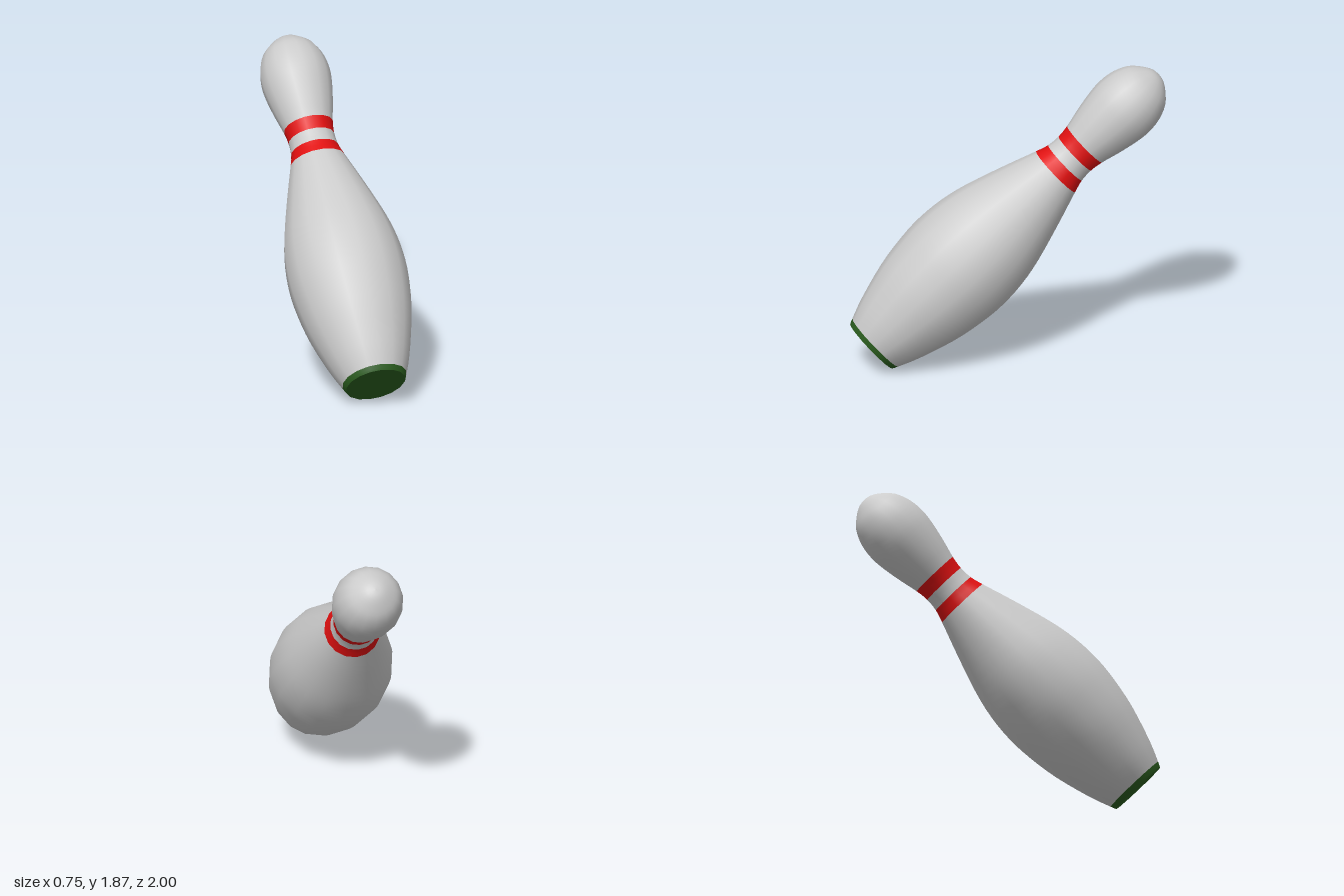
import * as THREE from 'three';

const SIDES = 16;

// Outline from the base to the tip: [radius, distance along the axis]
const outline = [
  [0.19, 0], [0.206, 0.034],
  [0.26, 0.17], [0.328, 0.4], [0.363, 0.6], [0.375, 0.77], [0.362, 0.95], [0.324, 1.13], [0.246, 1.38], [0.176, 1.586],
  [0.152, 1.668],
  [0.146, 1.752],
  [0.157, 1.836],
  [0.185, 1.95], [0.211, 2.08], [0.22, 2.18], [0.207, 2.28], [0.168, 2.37], [0.107, 2.43], [0.05, 2.465], [0, 2.474],
];
const curve = new THREE.SplineCurve(outline.map(([r, h]) => new THREE.Vector2(r, h)));

// Turned slice of the outline between two of its points
function slice(name, from, to, material) {
  const steps = (to - from) * 3;
  const points = [];
  for (let i = 0; i <= steps; i++) {
    const p = curve.getPoint((from + (to - from) * i / steps) / (outline.length - 1));
    p.x = Math.max(p.x, 0);
    points.push(p);
  }
  const mesh = new THREE.Mesh(new THREE.LatheGeometry(points, SIDES), material);
  mesh.name = name;
  return mesh;
}

export function createModel() {
  const grey = new THREE.MeshStandardMaterial({ color: 0xcccccc });
  const red = new THREE.MeshStandardMaterial({ color: 0xe01010 });
  const green = new THREE.MeshStandardMaterial({ color: 0x2a5c1e });

  const pin = new THREE.Group();
  pin.name = 'bowlingPin';
  pin.add(
    slice('baseRim', 0, 1, green),
    slice('body', 1, 9, grey),
    slice('lowerBand', 9, 10, red),
    slice('neck', 10, 11, grey),
    slice('upperBand', 11, 12, red),
    slice('head', 12, 20, grey),
  );

  // Flat underside
  const base = new THREE.Mesh(new THREE.CircleGeometry(outline[0][0], SIDES), green);
  base.name = 'baseCap';
  base.rotation.x = Math.PI / 2;
  pin.add(base);

  // The pin leans backwards
  pin.rotation.x = -0.83;
  pin.position.set(0, 0.14, 0.87);

  const model = new THREE.Group();
  model.add(pin);
  return model;
}
